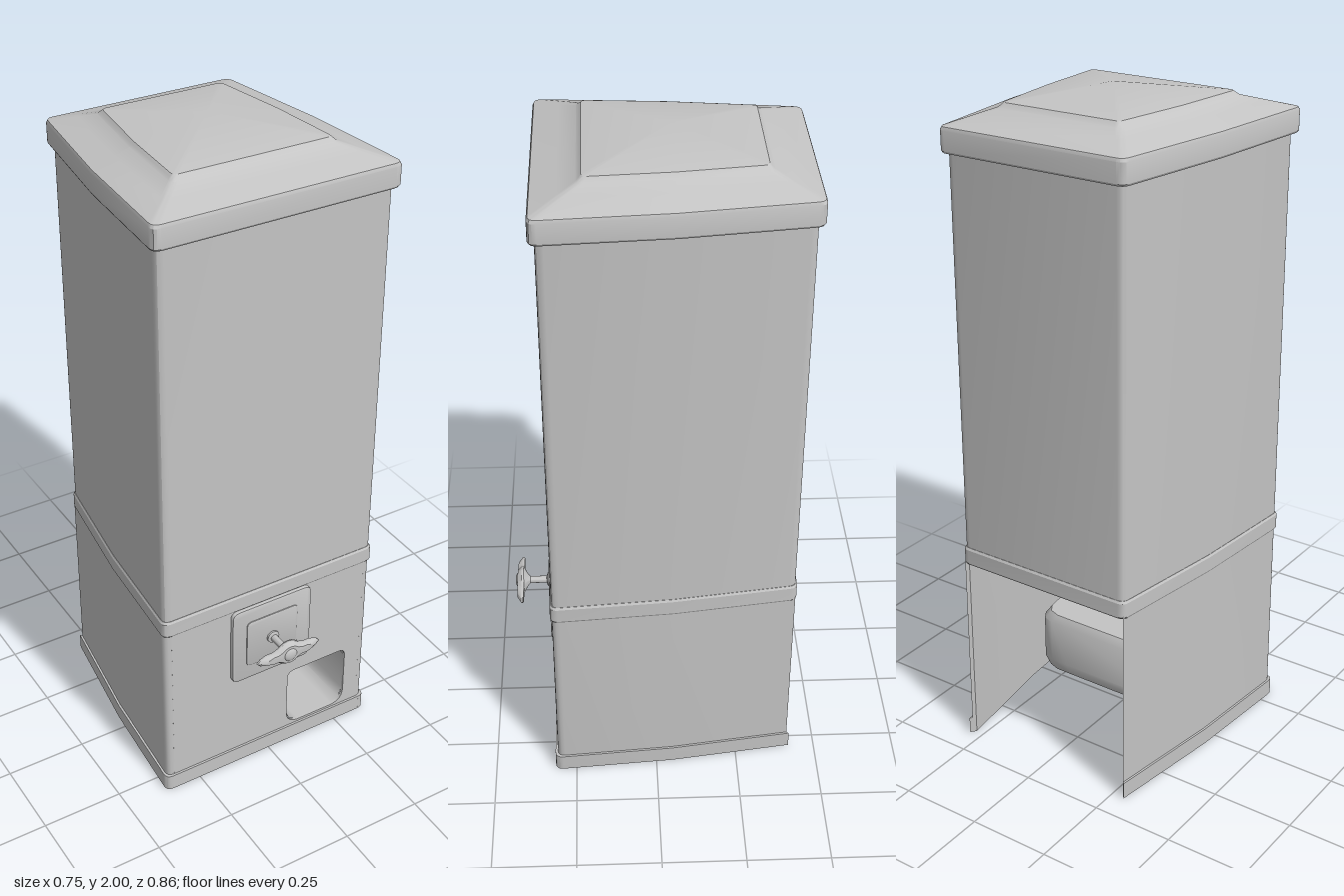
import * as THREE from 'three';
import { toCreasedNormals } from 'three/addons/utils/BufferGeometryUtils.js';

const CZ = -0.05; // centre of the tapered floor plan

// Rounds the corners of a polygon of [x, z, radius]; radius 0 keeps the point
function rounded(corners, steps = 4) {
  const out = [];
  corners.forEach(([x, z, r], i) => {
    const p = new THREE.Vector2(x, z);
    if (!r) return out.push(p);
    const toward = (q) => new THREE.Vector2(q[0], q[1]).sub(p).setLength(r).add(p);
    const a = toward(corners.at(i - 1));
    const b = toward(corners[(i + 1) % corners.length]);
    out.push(...new THREE.QuadraticBezierCurve(a, p, b).getPoints(steps));
  });
  return out;
}

// Stacks scaled copies of an outline: layers are [scale, y], ends are capped
function loft(outline, layers, cz, topY, crease = 0.45) {
  const pos = [], idx = [], n = outline.length;
  for (const [s, y] of layers) for (const p of outline) pos.push(p.x * s, y, cz + (p.y - cz) * s);
  const top = (layers.length - 1) * n, c0 = layers.length * n;
  pos.push(0, layers[0][1], cz, 0, topY ?? layers.at(-1)[1], cz);
  for (let i = 0; i < n; i++) {
    const j = (i + 1) % n;
    for (let l = 0; l < top; l += n) idx.push(l + i, l + j, l + n + j, l + i, l + n + j, l + n + i);
    idx.push(c0, j, i, c0 + 1, top + i, top + j);
  }
  const g = new THREE.BufferGeometry();
  g.setAttribute('position', new THREE.Float32BufferAttribute(pos, 3));
  g.setIndex(idx);
  return toCreasedNormals(g, crease);
}

// Rounded rectangle with separate top and bottom radii
function roundRect(Type, x0, y0, x1, y1, rt, rb) {
  const s = new Type();
  s.moveTo(x0 + rb, y0).lineTo(x1 - rb, y0).quadraticCurveTo(x1, y0, x1, y0 + rb);
  s.lineTo(x1, y1 - rt).quadraticCurveTo(x1, y1, x1 - rt, y1);
  s.lineTo(x0 + rt, y1).quadraticCurveTo(x0, y1, x0, y1 - rt);
  s.lineTo(x0, y0 + rb).quadraticCurveTo(x0, y0, x0 + rb, y0);
  return s;
}

export function createModel() {
  const group = new THREE.Group();
  const metal = new THREE.MeshStandardMaterial({ color: 0xc4c4c4, side: THREE.DoubleSide });
  metal.name = 'grey metal';
  const add = (name, geometry, x = 0, y = 0, z = 0) => {
    const m = new THREE.Mesh(geometry, metal);
    m.name = name;
    m.position.set(x, y, z);
    group.add(m);
    return m;
  };

  // Floor plan: wide front, narrower back, slight kink in the sides
  const plan = rounded([
    [0.378, 0.325, 0.025], [0.35, CZ, 0], [0.298, -0.43, 0.022],
    [-0.298, -0.43, 0.022], [-0.35, CZ, 0], [-0.378, 0.325, 0.025],
  ]);

  // Tall upper body, band and lid
  add('upperBody', loft(plan, [[0.955, 0.61], [0.955, 1.86]], CZ));
  add('middleBand', loft(plan, [[0.958, 0.6], [0.968, 0.606], [0.968, 0.649], [0.958, 0.656]], CZ));
  add('lid', loft(plan, [
    [0.99, 1.84], [1, 1.846], [1, 1.902], [0.99, 1.911], [0.8, 1.934],
    [0.67, 1.95], [0.65, 1.957], [0.635, 1.963],
  ], CZ, 2));

  // Side walls of the lower cabinet, open at the back and underneath
  const half = [...plan.slice(0, 6), new THREE.Vector2(0.298, -0.43)];
  function sideWalls(name, outer, inner, height) {
    const at = (s) => half.map((p) => new THREE.Vector2(p.x * s, -(CZ + (p.y - CZ) * s)));
    for (const side of [1, -1]) {
      const pts = [...at(outer), ...at(inner).reverse()];
      pts.forEach((p) => { p.x *= side; });
      const g = new THREE.ExtrudeGeometry(new THREE.Shape(pts), { depth: height, bevelEnabled: false });
      g.rotateX(-Math.PI / 2);
      add((side > 0 ? 'left' : 'right') + name, toCreasedNormals(g, 0.6));
    }
  }
  sideWalls('Wall', 0.955, 0.93, 0.61);
  sideWalls('BaseRim', 0.974, 0.935, 0.052);
  add('frontBaseRim', new THREE.BoxGeometry(0.69, 0.052, 0.015), 0, 0.026, 0.3077);

  // Front panel with the dispensing opening
  const panel = new THREE.Shape();
  panel.moveTo(-0.338, 0).lineTo(0.338, 0).lineTo(0.338, 0.61).lineTo(-0.338, 0.61);
  panel.holes.push(roundRect(THREE.Path, 0.07, 0.06, 0.285, 0.275, 0.025, 0.05));
  add('frontPanel', new THREE.ExtrudeGeometry(panel, { depth: 0.009, bevelEnabled: false }), 0, 0, 0.2991);

  // Chute: a tube that runs back from the opening and bends toward the right
  const stations = [ // outer x, z, inner x, z
    [0.285, 0.302, 0.07, 0.302], [0.285, 0.0, 0.07, 0.15], [0.278, -0.04, 0.064, 0.115],
    [0.26, -0.068, 0.05, 0.09], [0.225, -0.08, 0.02, 0.076], [0.17, -0.08, -0.02, 0.07],
    [-0.22, -0.08, -0.22, 0.07], [-0.24, -0.06, -0.24, 0.05],
  ];
  const section = [ // fraction across, y
    [0, 0.11], [0.06, 0.075], [0.2, 0.06], [0.8, 0.06], [0.94, 0.075],
    [1, 0.11], [1, 0.25], [0.92, 0.275], [0.08, 0.275], [0, 0.25],
  ];
  const pos = [], idx = [], n = section.length, last = (stations.length - 1) * n;
  for (const [ox, oz, ix, iz] of stations) {
    for (const [t, y] of section) pos.push(ox + (ix - ox) * t, y, oz + (iz - oz) * t);
  }
  for (let l = 0; l < last; l += n) {
    for (let i = 0; i < n; i++) {
      const j = (i + 1) % n;
      idx.push(l + i, l + n + j, l + j, l + i, l + n + i, l + n + j);
    }
  }
  for (let i = 1; i < n - 1; i++) idx.push(last, last + i + 1, last + i);
  const chute = new THREE.BufferGeometry();
  chute.setAttribute('position', new THREE.Float32BufferAttribute(pos, 3));
  chute.setIndex(idx);
  add('chute', toCreasedNormals(chute, 0.8));

  // Coin mechanism plate with a raised centre
  const plate = (x, y0, y1, r, depth, b) => toCreasedNormals(new THREE.ExtrudeGeometry(
    roundRect(THREE.Shape, -x + b, y0 + b, x - b, y1 - b, r, r),
    { depth, bevelThickness: b, bevelSize: b, bevelSegments: 2 }), 0.5);
  add('coinPlate', plate(0.138, 0.332, 0.6, 0.02, 0.012, 0.005), 0, 0, 0.304);
  add('coinPlateCentre', plate(0.09, 0.382, 0.55, 0.015, 0.003, 0.003), 0, 0, 0.318);

  // Turning handle: flanged shaft, butterfly wing and centre boss
  const profile = [[0.001, 0.318], [0.02, 0.318], [0.02, 0.33], [0.011, 0.333],
    [0.011, 0.384], [0.018, 0.391], [0.042, 0.404], [0.001, 0.408]];
  const shaft = new THREE.LatheGeometry(profile.map(([r, y]) => new THREE.Vector2(r, y)), 20);
  add('handleShaft', toCreasedNormals(shaft.rotateX(Math.PI / 2), 0.6), 0, 0.465, 0);

  const quarter = [[0.11, 0], [0.1, 0.01], [0.078, 0.017], [0.055, 0.017], [0.037, 0.024], [0.02, 0.036], [0, 0.04]];
  const wing = [];
  for (const [sx, sz, rev] of [[1, -1, 0], [-1, -1, 1], [-1, 1, 0], [1, 1, 1]]) {
    const q = rev ? [...quarter].reverse() : quarter;
    for (const [x, z] of q.slice(0, -1)) wing.push(new THREE.Vector2(x * sx, z * sz));
  }
  const wingGeo = loft(wing, [[0.96, 0.403], [1, 0.406], [0.99, 0.411], [0.75, 0.423]], 0, 0.425, 0.6);
  add('handleWing', wingGeo.rotateX(Math.PI / 2), 0, 0.465, 0);

  const boss = add('handleBoss', new THREE.SphereGeometry(0.022, 20, 12), 0, 0.465, 0.422);
  boss.scale.z = 0.4;
  return group;
}
